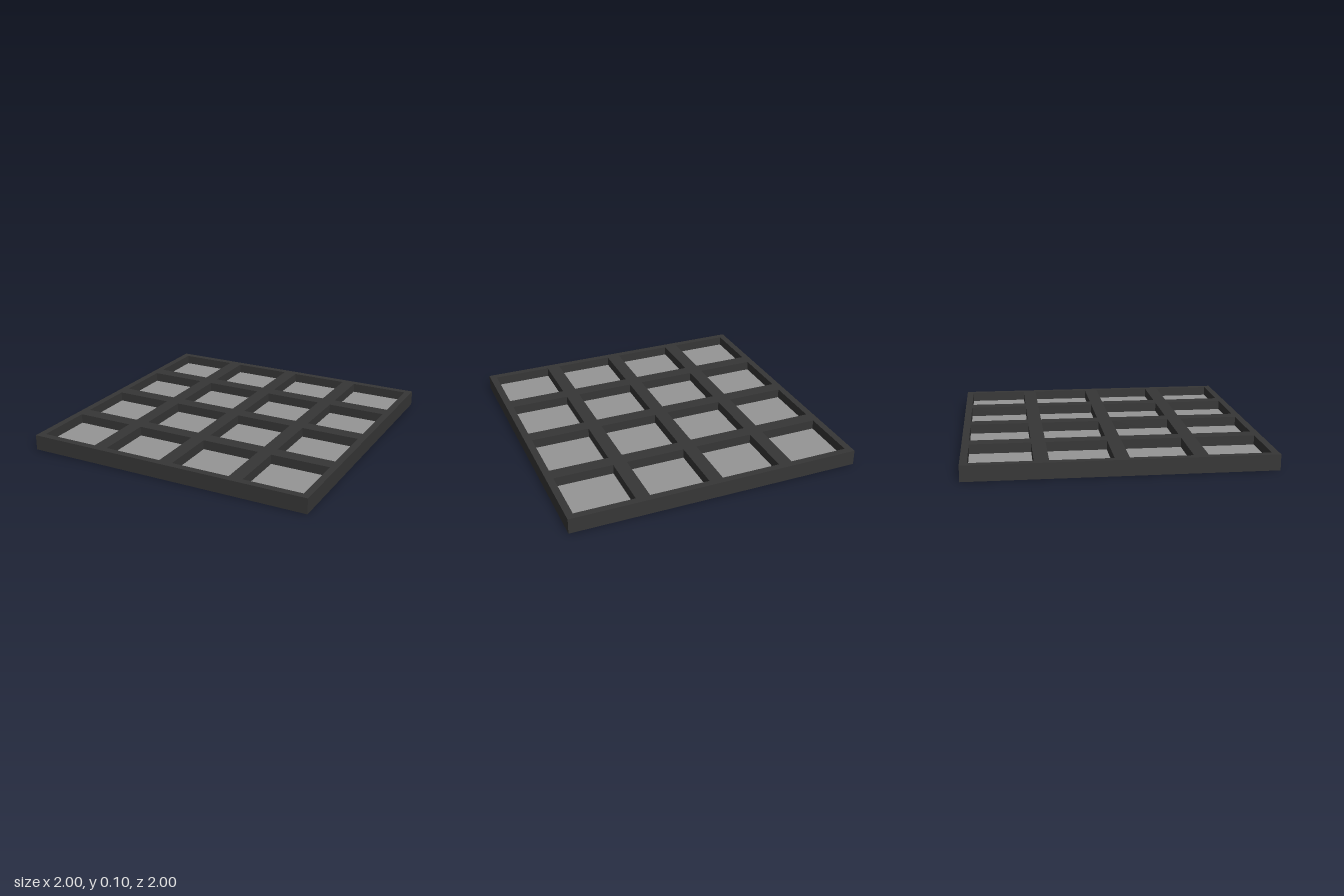
import * as THREE from 'three';

const COUNT = 4, PITCH = 0.5, PANE = 0.405, HEIGHT = 0.105, PANE_HEIGHT = 0.04;

// Centre of a cell along one axis
const cellCentre = (i) => (i - (COUNT - 1) / 2) * PITCH;

function squarePath(target, x, y, size) {
  const h = size / 2;
  target.moveTo(x - h, y - h);
  target.lineTo(x + h, y - h);
  target.lineTo(x + h, y + h);
  target.lineTo(x - h, y + h);
  target.closePath();
  return target;
}

export function createModel() {
  const model = new THREE.Group();
  model.name = 'windowGrid';
  const frameMaterial = new THREE.MeshStandardMaterial({ color: 0x363636 });
  const paneMaterial = new THREE.MeshStandardMaterial({ color: 0x959595 });

  // Square frame with a grid of openings, laid flat
  const outline = squarePath(new THREE.Shape(), 0, 0, COUNT * PITCH);
  const panes = new THREE.Group();
  panes.name = 'panes';
  const paneGeometry = new THREE.BoxGeometry(PANE, PANE_HEIGHT, PANE);

  for (let i = 0; i < COUNT; i++) {
    for (let j = 0; j < COUNT; j++) {
      const x = cellCentre(i), z = cellCentre(j);
      outline.holes.push(squarePath(new THREE.Path(), x, z, PANE));

      // Pane set flush with the underside of the frame
      const pane = new THREE.Mesh(paneGeometry, paneMaterial);
      pane.name = 'pane';
      pane.position.set(x, PANE_HEIGHT / 2, z);
      panes.add(pane);
    }
  }

  const frameGeometry = new THREE.ExtrudeGeometry(outline, { depth: HEIGHT, bevelEnabled: false });
  frameGeometry.rotateX(-Math.PI / 2);
  const frame = new THREE.Mesh(frameGeometry, frameMaterial);
  frame.name = 'frame';

  model.add(frame, panes);
  return model;
}
